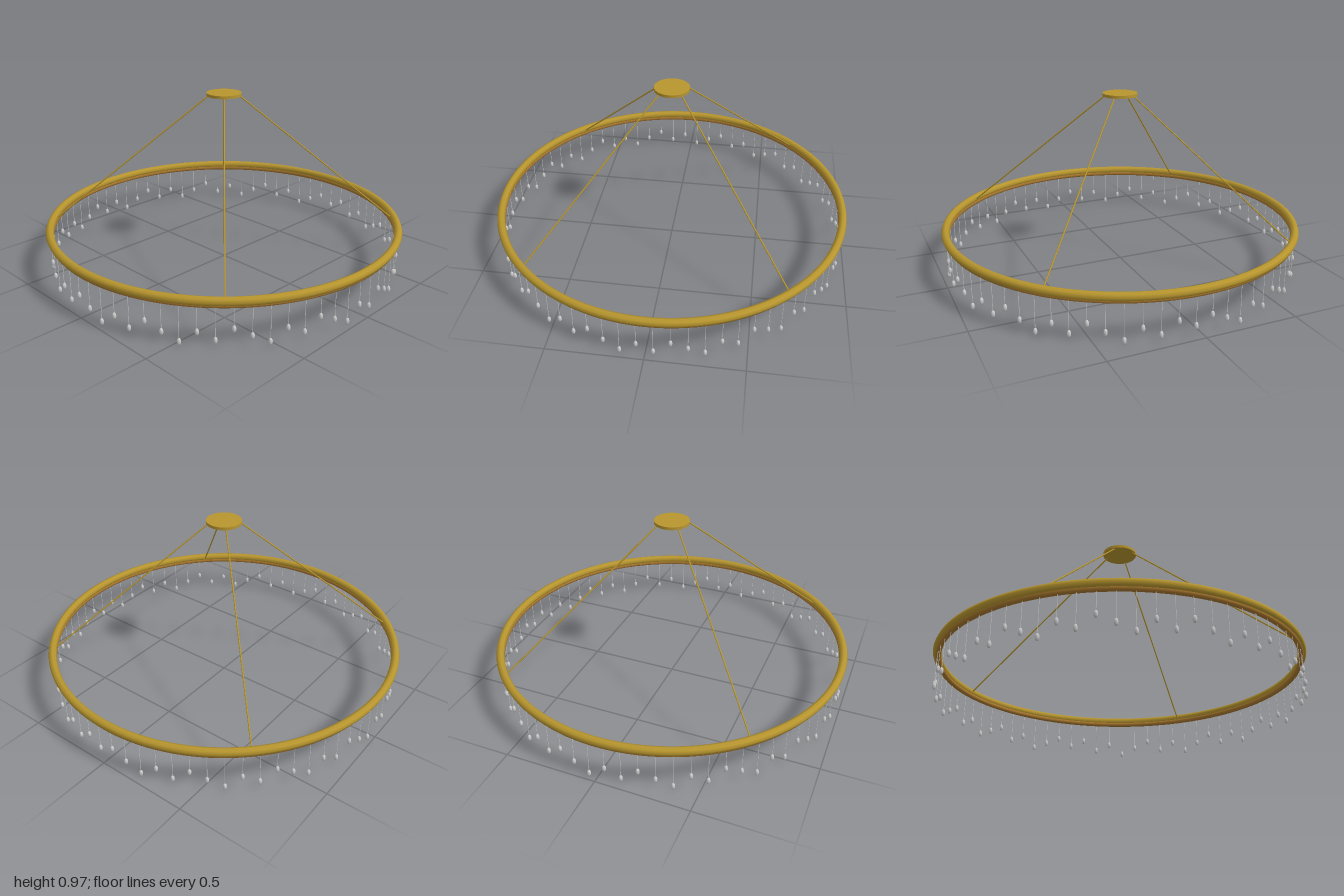
import * as THREE from 'three';

const gold = new THREE.MeshStandardMaterial({ color: 0xb8962e });
const bronze = new THREE.MeshStandardMaterial({ color: 0xa8772e });
const grey = new THREE.MeshStandardMaterial({ color: 0xcccccc });

const RING_R = 0.9775;
const HANG_R = 0.975;

function add(parent, name, geometry, material) {
  const mesh = new THREE.Mesh(geometry, material);
  mesh.name = name;
  parent.add(mesh);
  return mesh;
}

// Straight round rod between two points
function rod(parent, name, a, b, radius, sides, material) {
  const mesh = add(parent, name, new THREE.CylinderGeometry(radius, radius, a.distanceTo(b), sides), material);
  mesh.position.copy(a).add(b).multiplyScalar(0.5);
  mesh.quaternion.setFromUnitVectors(new THREE.Vector3(0, 1, 0), b.clone().sub(a).normalize());
  return mesh;
}

// Horizontal hoop
function hoop(parent, name, radius, tube, y, material) {
  const mesh = add(parent, name, new THREE.TorusGeometry(radius, tube, 8, 120), material);
  mesh.rotation.x = Math.PI / 2;
  mesh.position.y = y;
}

export function createModel() {
  const model = new THREE.Group();
  model.name = 'ringChandelier';

  // Main hoop with a slimmer trim hoop under it
  hoop(model, 'mainRing', RING_R, 0.0225, 0.2425, gold);
  hoop(model, 'lowerTrimRing', 0.971, 0.0145, 0.2195, bronze);

  // Ceiling plate
  add(model, 'ceilingPlate', new THREE.CylinderGeometry(0.096, 0.096, 0.016, 40), gold).position.y = 0.966;

  // Four suspension cables
  for (const sx of [-1, 1]) {
    for (const sz of [-1, 1]) {
      rod(model, 'suspensionCable',
        new THREE.Vector3(sx * 0.053, 0.964, sz * 0.053),
        new THREE.Vector3(sx * 0.685, 0.235, sz * 0.685), 0.004, 8, gold);
    }
  }

  // Crystal drops at five repeating heights, each on a fine wire
  const dropGeometry = new THREE.SphereGeometry(1, 8, 6);
  dropGeometry.scale(0.0105, 0.019, 0.0105);
  for (let i = 0; i < 72; i++) {
    const angle = THREE.MathUtils.degToRad(2.5 + 5 * i);
    const y = 0.1 - 0.02 * ((2 * i) % 5);
    const x = HANG_R * Math.cos(angle);
    const z = -HANG_R * Math.sin(angle);
    const pendant = new THREE.Group();
    pendant.name = 'pendant';
    pendant.position.set(x, 0, z);
    rod(pendant, 'wire', new THREE.Vector3(0, y, 0), new THREE.Vector3(0, 0.215, 0), 0.0015, 6, grey);
    add(pendant, 'crystalDrop', dropGeometry, grey).position.y = y - 0.001;
    model.add(pendant);
  }

  return model;
}
